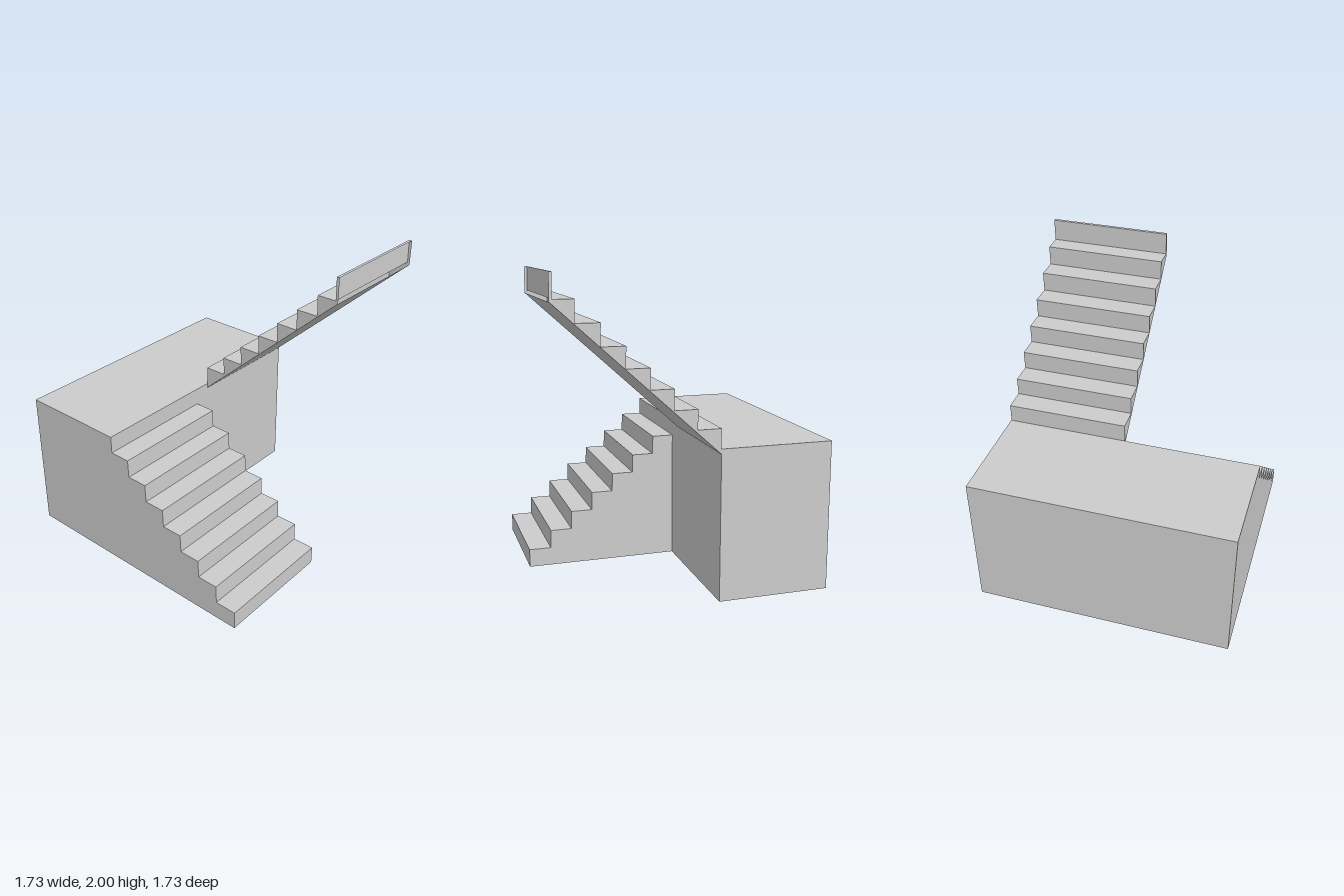
import * as THREE from 'three';

const material = new THREE.MeshStandardMaterial({ color: 0xcccccc, flatShading: true, side: THREE.DoubleSide });

function addMesh(parent, name, geometry) {
  const mesh = new THREE.Mesh(geometry, material);
  mesh.name = name;
  parent.add(mesh);
}

// Folded sheet: a [z, y] profile swept from x0 to x1
function sheet(profile, x0, x1) {
  const pos = [];
  for (let i = 0; i < profile.length - 1; i++) {
    const [z0, y0] = profile[i];
    const [z1, y1] = profile[i + 1];
    pos.push(x0, y0, z0, x1, y0, z0, x1, y1, z1);
    pos.push(x0, y0, z0, x1, y1, z1, x0, y1, z1);
  }
  const g = new THREE.BufferGeometry();
  g.setAttribute('position', new THREE.Float32BufferAttribute(pos, 3));
  g.computeVertexNormals();
  return g;
}

// Flat cheek: a closed [z, y] outline standing at x, facing +x or -x
function cheek(outline, x, facing) {
  const shape = new THREE.Shape(outline.map(([z, y]) => new THREE.Vector2(z, y)));
  const g = new THREE.ShapeGeometry(shape).toNonIndexed();
  g.rotateY(-Math.PI / 2).translate(x, 0, 0);
  if (facing > 0) {
    const p = g.attributes.position;
    const a = new THREE.Vector3(), b = new THREE.Vector3();
    for (let i = 0; i < p.count; i += 3) {
      a.fromBufferAttribute(p, i + 1);
      b.fromBufferAttribute(p, i + 2);
      p.setXYZ(i + 1, b.x, b.y, b.z);
      p.setXYZ(i + 2, a.x, a.y, a.z);
    }
    g.computeVertexNormals();
  }
  return g;
}

export function createModel() {
  const model = new THREE.Group();
  model.name = 'staircase';
  const left = 0.86, right = -0.865;
  const back = -0.862, front = -0.14, end = 0.865, top = 0.957;

  // Landing: a hollow block, open below and towards the lower flight
  const landing = new THREE.Group();
  landing.name = 'landing';
  const inner = -0.06;
  addMesh(landing, 'landingTopAndBack', sheet([[front, top], [back, top], [back, 0]], right, left));
  addMesh(landing, 'landingFront', sheet([[front, 0], [front, top]], inner, left));
  const block = [[back, 0], [front, 0], [front, top], [back, top]];
  addMesh(landing, 'landingLeftWall', cheek(block, left, 1));
  addMesh(landing, 'landingRightWall', cheek(block, right, -1));
  model.add(landing);

  // Lower flight: seven steps as a folded sheet between two cheeks
  const lower = new THREE.Group();
  lower.name = 'lowerFlight';
  const steps = [];
  const run = (end - front) / 7, rise = 0.842 / 7;
  for (let i = 0; i < 7; i++) {
    const z = end - i * run;
    steps.push([z, i * rise], [i ? z - 0.004 : z, (i + 1) * rise]);
  }
  steps.push([front, 7 * rise]);
  addMesh(lower, 'lowerSteps', sheet([...steps, [front, top]], right, inner));
  const lowerOutline = [...steps, [front, 0]];
  addMesh(lower, 'lowerLeftCheek', cheek(lowerOutline, inner, 1));
  addMesh(lower, 'lowerRightCheek', cheek(lowerOutline, right, -1));
  model.add(lower);

  // Upper flight: climbs forward over a sloping soffit, open at its cut end
  const upper = new THREE.Group();
  upper.name = 'upperFlight';
  const x0 = 0.045, x1 = 0.857;
  const soffit = [[front, 0.925], [end, 1.838]];
  const climb = [soffit[0]];
  const riserZ = [front, 0.005, 0.15, 0.293, 0.436, 0.58, 0.723, 0.845];
  const treadY = [1.08, 1.203, 1.33, 1.457, 1.586, 1.72, 1.853, 2];
  riserZ.forEach((z, i) => {
    if (i) climb.push([z + 0.004, treadY[i - 1]]);
    climb.push([z, treadY[i]]);
  });
  climb.push([end, 2]);
  addMesh(upper, 'upperSteps', sheet([...climb].reverse(), x0, x1));
  addMesh(upper, 'soffit', sheet(soffit, x0, x1));
  const upperOutline = [...climb, soffit[1]];
  addMesh(upper, 'upperLeftCheek', cheek(upperOutline, x1, 1));
  addMesh(upper, 'upperRightCheek', cheek(upperOutline, x0, -1));
  model.add(upper);

  return model;
}
